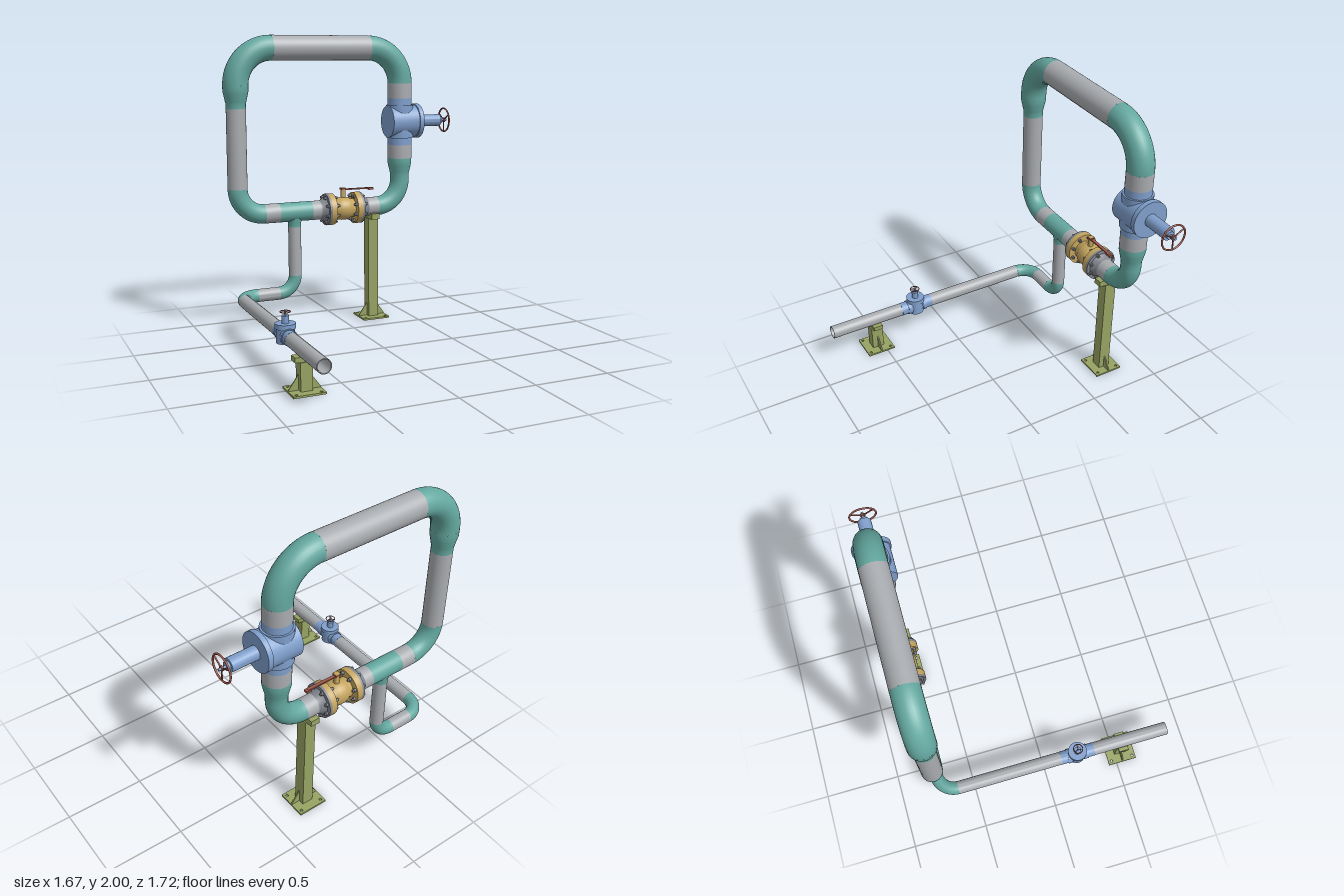
import * as THREE from 'three';
import { toCreasedNormals } from 'three/addons/utils/BufferGeometryUtils.js';

const mat = (name, color) => Object.assign(new THREE.MeshStandardMaterial({ color }), { name });
const UP = new THREE.Vector3(0, 1, 0);
const AXES = { x: new THREE.Vector3(1, 0, 0), y: UP, z: new THREE.Vector3(0, 0, 1) };

export function createModel() {
  const grey = mat('pipe grey', 0xa9acb0), teal = mat('fitting teal', 0x64a8a0);
  const blue = mat('valve blue', 0x7f9fcc), tan = mat('ball valve tan', 0xc4a55f);
  const olive = mat('support olive', 0x97a363), steel = mat('flange steel', 0x80848c);
  const rust = mat('handle rust', 0xa0594b);
  const model = new THREE.Group();
  model.name = 'pipeLoop';

  const add = (parent, name, geo, m, x = 0, y = 0, z = 0) => {
    const mesh = new THREE.Mesh(geo, m);
    mesh.name = name;
    mesh.position.set(x, y, z);
    parent.add(mesh);
    return mesh;
  };
  const group = (name, x, y, z, axis = 'y') => {
    const g = new THREE.Group();
    g.name = name;
    g.position.set(x, y, z);
    g.quaternion.setFromUnitVectors(UP, AXES[axis]);
    model.add(g);
    return g;
  };
  // Revolved profile of [radius, distance] pairs along the local y axis
  const revolve = (parent, name, m, profile, seg = 40) => add(parent, name, toCreasedNormals(
    new THREE.LatheGeometry(profile.map(p => new THREE.Vector2(...p)), seg), 0.6), m);
  const disc = (parent, name, m, r, a, b, seg) =>
    revolve(parent, name, m, [[0, a], [r, a], [r, b], [0, b]], seg);
  // Hollow straight run between a and b along an axis
  const run = (name, m, axis, r, a, b, x, y, z) => {
    const g = group(name, x, y, z, axis), i = r * 0.88;
    revolve(g, name, m, [[i, a], [r, a], [r, b], [i, b], [i, a]]);
  };
  const box = (parent, name, m, w, h, d, x, y, z) =>
    add(parent, name, new THREE.BoxGeometry(w, h, d), m, x, y, z);

  const Z = -0.735, XL = -0.739, XR = 0.455, YT = 1.915, YB = 0.802;
  const BIG = 0.085, MID = 0.066, SMALL = 0.044;

  // Elbows: quarter tori, turn counts quarter turns around z
  const elbow = (name, R, r, x, y, z, turn, flat) => {
    const geo = new THREE.TorusGeometry(R, r, 28, 24, Math.PI / 2).rotateZ(turn * Math.PI / 2);
    if (flat) geo.rotateX(Math.PI / 2);
    add(model, name, geo, teal, x, y, z);
  };
  elbow('topRightElbow', 0.245, BIG, XL + 0.245, YT - 0.245, Z, 1);
  elbow('topLeftElbow', 0.245, BIG, XR - 0.245, YT - 0.245, Z, 0);
  elbow('lowerRightElbow', 0.18, MID, XL + 0.18, YB + 0.18, Z, 2);
  elbow('lowerLeftElbow', 0.183, MID, XR - 0.183, YB + 0.183, Z, 3);
  elbow('branchElbow', 0.12, SMALL, -0.462, 0.36, Z, 3);
  elbow('outletElbow', 0.122, SMALL, -0.616, 0.24, Z + 0.122, 2, true);

  // Straight runs of the loop
  run('topPipe', grey, 'x', BIG, XL + 0.245, XR - 0.245, 0, YT, Z);
  run('rightPipe', grey, 'y', MID, 0.982, 1.517, XL, 0, Z);
  run('upperLeftPipe', grey, 'y', BIG, 1.565, 1.67, XR, 0, Z);
  run('lowerLeftPipe', grey, 'y', BIG, 1.14, 1.235, XR, 0, Z);
  run('bottomPipe', grey, 'x', MID, XL + 0.18, -0.457, 0, YB, Z);
  run('teeRun', teal, 'x', MID, -0.457, -0.225, 0, YB, Z);
  run('valveInletPipe', grey, 'x', MID, -0.225, -0.16, 0, YB, Z);
  run('valveOutletPipe', grey, 'x', MID, 0.192, XR - 0.183, 0, YB, Z);

  // Reducers
  revolve(group('rightReducer', XL, 0, Z), 'reducer', teal,
    [[MID, 1.517], [MID, 1.55], [0.07, 1.563], [0.081, 1.615], [BIG, 1.634], [BIG, 1.67]]);
  revolve(group('leftReducer', XR, 0, Z), 'reducer', teal,
    [[MID, 0.985], [MID, 1.025], [0.07, 1.042], [0.081, 1.09], [BIG, 1.108], [BIG, 1.14]]);

  // Branch and outlet line
  revolve(group('teeBranch', -0.342, 0, Z), 'branch', teal,
    [[SMALL, 0.7], [SMALL, 0.725], [0.052, 0.75], [0.052, YB]]);
  run('branchPipe', grey, 'y', SMALL, 0.36, 0.7, -0.342, 0, Z);
  run('crossPipe', grey, 'x', SMALL, -0.616, -0.462, 0, 0.24, Z);
  run('rearOutletPipe', grey, 'z', SMALL, Z + 0.122, 0.107, XL, 0.24, 0);
  run('frontOutletPipe', grey, 'z', SMALL, 0.34, 0.86, XL, 0.24, 0);

  // Handwheel around the local y axis
  const handwheel = (parent, R, t, y) => {
    const wheel = new THREE.Group();
    wheel.name = 'handwheel';
    wheel.position.y = y;
    parent.add(wheel);
    add(wheel, 'rim', new THREE.TorusGeometry(R, t, 10, 40).rotateX(Math.PI / 2), rust);
    disc(wheel, 'hub', rust, R * 0.2, -t, t, 20);
    for (let i = 0; i < 3; i++) {
      const spoke = add(wheel, 'spoke',
        new THREE.CylinderGeometry(t * 0.8, t * 0.8, R, 8).rotateZ(Math.PI / 2).translate(R / 2, 0, 0), rust);
      spoke.rotation.y = i * Math.PI * 2 / 3;
    }
  };

  // Large gate valve, its stem pointing to +x
  run('gateValveRun', blue, 'y', BIG, 1.235, 1.565, XR, 0, Z);
  revolve(group('gateValveCollar', XR, 0, Z), 'collar', blue,
    [[BIG, 1.285], [0.097, 1.285], [0.097, 1.515], [BIG, 1.515]]);
  const gate = group('gateValve', 0, 1.4, Z, 'x');
  disc(gate, 'body', blue, 0.113, 0.362, 0.563);
  disc(gate, 'bonnetFlange', blue, 0.122, 0.563, 0.595);
  disc(gate, 'yoke', blue, 0.042, 0.595, 0.768);
  disc(gate, 'gland', blue, 0.026, 0.768, 0.785);
  disc(gate, 'stem', blue, 0.008, 0.785, 0.83, 16);
  handwheel(gate, 0.083, 0.006, 0.81);

  // Small gate valve on the outlet line
  run('smallValveRun', blue, 'z', 0.045, 0.107, 0.34, XL, 0.24, 0);
  for (const [a, b] of [[0.152, 0.18], [0.262, 0.292]])
    run('smallValveSocket', blue, 'z', 0.05, a, b, XL, 0.24, 0);
  const small = group('smallValve', XL, 0, 0.222);
  revolve(small, 'body', blue, [[0.046, 0.194], [0.056, 0.194], [0.056, 0.282], [0, 0.282]]);
  disc(small, 'bonnetFlange', blue, 0.063, 0.282, 0.312);
  disc(small, 'bonnet', blue, 0.022, 0.312, 0.358, 24);
  disc(small, 'stem', blue, 0.006, 0.358, 0.39, 12);
  handwheel(small, 0.031, 0.003, 0.38);

  // Flanged ball valve
  const ball = group('ballValve', 0.015, YB, Z, 'x');
  revolve(ball, 'body', tan, [[0.064, -0.09], [0.066, -0.055], [0.076, -0.04], [0.08, -0.015],
    [0.08, 0.015], [0.076, 0.04], [0.066, 0.055], [0.064, 0.09]]);
  for (const s of [-1, 1]) {
    const side = new THREE.Group();
    side.name = 'flangeJoint';
    if (s < 0) side.rotation.z = Math.PI;
    ball.add(side);
    revolve(side, 'valveFlange', tan, [[0.06, 0.077], [0.11, 0.077], [0.11, 0.115], [0.06, 0.115]]);
    revolve(side, 'pipeFlange', steel, [[0.06, 0.115], [0.11, 0.115], [0.11, 0.132], [0.088, 0.134],
      [0.068, 0.165], [MID, 0.177], [0.058, 0.177]]);
    for (let i = 0; i < 8; i++) {
      const a = (i + 0.5) * Math.PI / 4, x = 0.091 * Math.cos(a), z = 0.091 * Math.sin(a);
      add(side, 'bolt', new THREE.CylinderGeometry(0.007, 0.007, 0.1, 10), steel, x, 0.103, z);
      for (const y of [0.07, 0.138])
        add(side, 'nut', new THREE.CylinderGeometry(0.012, 0.012, 0.013, 6), steel, x, y, z);
    }
  }
  const lever = group('lever', 0.018, 0, Z);
  disc(lever, 'stemBoss', tan, 0.018, 0.86, 0.948, 24);
  box(lever, 'arm', rust, 0.23, 0.009, 0.02, 0.1, 0.935, 0);
  box(lever, 'grip', rust, 0.036, 0.015, 0.026, 0.212, 0.93, 0);
  box(lever, 'cap', rust, 0.036, 0.012, 0.036, 0, 0.941, 0);

  // Supports: drilled base plate, post, two gussets and a saddle block
  const support = (name, x, z, top, post, saddle) => {
    const g = group(name, x, 0, z);
    const plate = new THREE.Shape([[-1, -1], [1, -1], [1, 1], [-1, 1]]
      .map(([a, b]) => new THREE.Vector2(a * 0.098, b * 0.098)));
    for (const a of [-1, 1]) for (const b of [-1, 1])
      plate.holes.push(new THREE.Path().absarc(a * 0.075, b * 0.075, 0.009, 0, Math.PI * 2, true));
    add(g, 'basePlate', new THREE.ExtrudeGeometry(plate, { depth: 0.012, bevelEnabled: false })
      .rotateX(-Math.PI / 2), olive);
    box(g, 'post', olive, post[0], top - 0.012, post[1], 0, (top + 0.012) / 2, 0);
    box(g, 'saddle', olive, ...saddle, 0, top + saddle[1] / 2, 0);
    const e = post[0] / 2 - 0.002;
    const tri = new THREE.Shape([[e, 0.01], [0.096, 0.01], [0.096, 0.018], [e, 0.105]]
      .map(p => new THREE.Vector2(...p)));
    for (const turn of [0, Math.PI])
      add(g, 'gusset', new THREE.ExtrudeGeometry(tri, { depth: 0.008, bevelEnabled: false })
        .translate(0, 0, -0.004), olive).rotation.y = turn;
  };
  support('outletSupport', XL, 0.543, 0.18, [0.072, 0.082], [0.13, 0.03, 0.066]);
  support('loopSupport', 0.233, Z, 0.72, [0.074, 0.08], [0.06, 0.04, 0.164]);

  return model;
}
